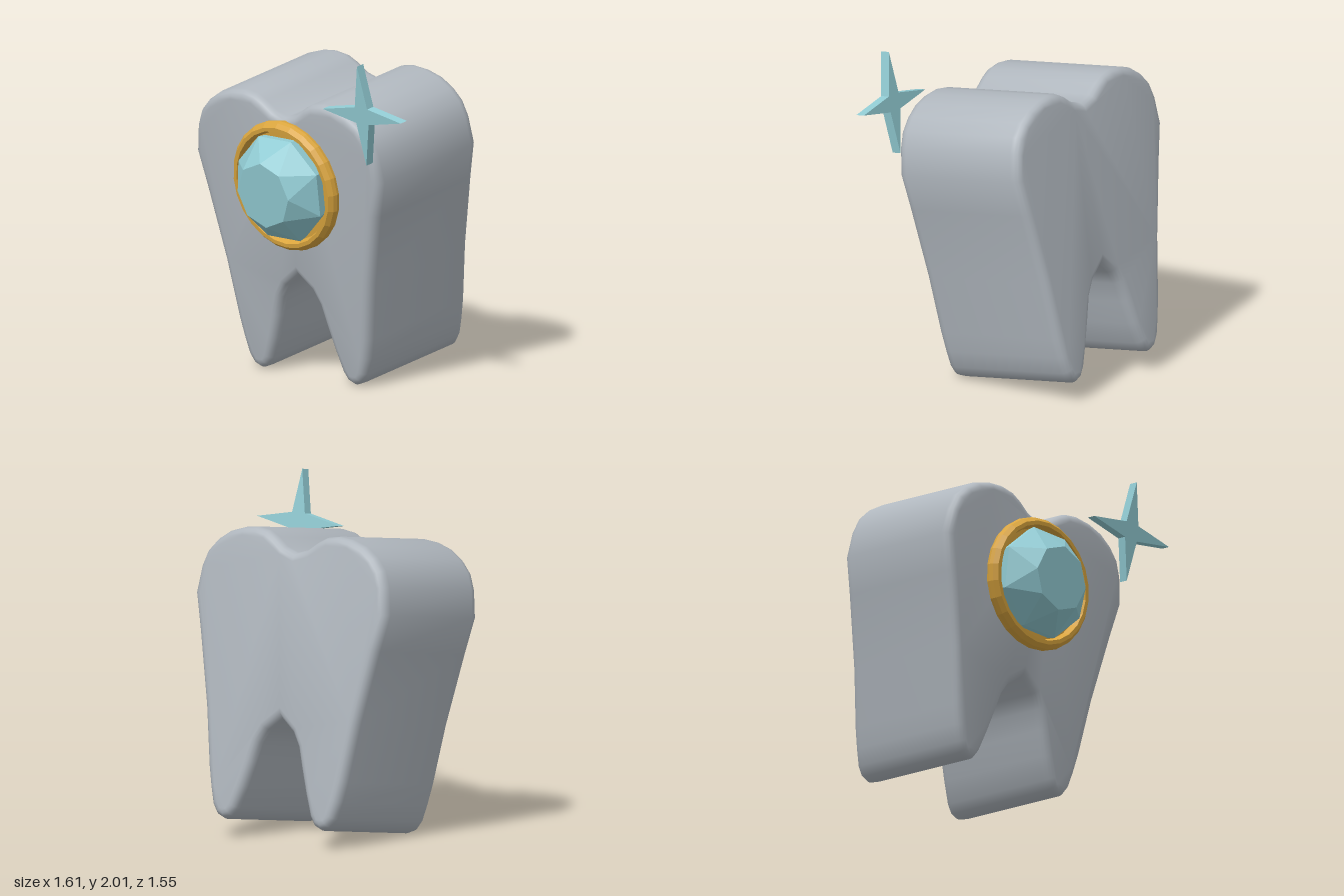
import * as THREE from 'three';
import { toCreasedNormals } from 'three/addons/utils/BufferGeometryUtils.js';

const enamel = new THREE.MeshStandardMaterial({ color: 0xb0b7be });
enamel.name = 'enamel grey';
const gold = new THREE.MeshStandardMaterial({ color: 0xdaa53e });
gold.name = 'gold';
const crystal = new THREE.MeshStandardMaterial({ color: 0x92ccd4 });
crystal.name = 'pale teal';

const CX = -0.028; // symmetry line of the tooth

function add(group, name, geometry, material, x, y, z) {
  const mesh = new THREE.Mesh(geometry, material);
  mesh.name = name;
  mesh.position.set(x, y, z);
  group.add(mesh);
}

function faceted(geometry) {
  const g = geometry.index ? geometry.toNonIndexed() : geometry;
  g.computeVertexNormals();
  return g;
}

// Mirrored two-root outline, extruded with a soft bevel
function toothGeometry() {
  const half = [
    [0.095, 0.56], [0.144, 0.48], [0.18, 0.36], [0.227, 0.215], [0.275, 0.085], [0.31, 0.035],
    [0.365, 0.013], [0.42, 0.035], [0.457, 0.09], [0.485, 0.19], [0.512, 0.31], [0.57, 0.66],
    [0.665, 1.09], [0.718, 1.307], [0.693, 1.47], [0.655, 1.565], [0.59, 1.635], [0.505, 1.69],
    [0.4, 1.722], [0.305, 1.731], [0.22, 1.718], [0.155, 1.685], [0.085, 1.635],
  ];
  const points = [
    [0, 0.635], ...half, [0, 1.608],
    ...half.slice().reverse().map(([x, y]) => [-x, y]),
  ].map(([x, y]) => new THREE.Vector2(x, y));
  const g = new THREE.ExtrudeGeometry(new THREE.Shape(points), {
    depth: 0.76, bevelEnabled: true, bevelSize: 0.05, bevelOffset: -0.05,
    bevelThickness: 0.06, bevelSegments: 4,
  });
  return toCreasedNormals(g, 0.8);
}

// Bezel: closed cross-section turned around the facing axis
function bezelGeometry() {
  const profile = [
    [0.385, 0.14], [0.396, 0.2], [0.39, 0.225], [0.368, 0.25],
    [0.345, 0.25], [0.33, 0.205], [0, 0.2],
  ].map(([r, h]) => new THREE.Vector2(r, h));
  return faceted(new THREE.LatheGeometry(profile, 24).rotateX(Math.PI / 2));
}

// Cut stone: octagonal girdle joined to a table turned half a step
function gemGeometry() {
  const n = 8, step = Math.PI * 2 / n, out = [];
  const at = (r, z, k) => [r * Math.cos(k * step), r * Math.sin(k * step), z];
  for (let k = 0; k < n; k++) {
    const b0 = at(0.315, 0.17, k - 0.5), b1 = at(0.315, 0.17, k + 0.5);
    const g0 = at(0.33, 0.26, k - 0.5), g1 = at(0.33, 0.26, k + 0.5);
    const t0 = at(0.197, 0.405, k), t1 = at(0.197, 0.405, k + 1);
    out.push(b0, b1, g1, b0, g1, g0); // side
    out.push(g0, g1, t0, g1, t1, t0); // crown
    out.push(t0, t1, [0, 0, 0.405]); // table
  }
  const g = new THREE.BufferGeometry();
  g.setAttribute('position', new THREE.Float32BufferAttribute(out.flat(), 3));
  return faceted(g);
}

// Four-pointed sparkle
function sparkleGeometry() {
  const points = [];
  for (let i = 0; i < 8; i++) {
    const r = i % 2 ? 0.068 : 0.305, a = i * Math.PI / 4;
    points.push(new THREE.Vector2(r * Math.cos(a), r * Math.sin(a)));
  }
  return new THREE.ExtrudeGeometry(new THREE.Shape(points), { depth: 0.056, bevelEnabled: false });
}

export function createModel() {
  const model = new THREE.Group();
  model.name = 'jewelledTooth';

  // Everything is built upright, then turned and tipped slightly forward
  const body = new THREE.Group();
  body.name = 'tiltedBody';
  body.rotation.set(0.137, -0.345, 0, 'YXZ');
  model.add(body);

  add(body, 'tooth', toothGeometry(), enamel, CX, 0, -0.64);
  add(body, 'bezel', bezelGeometry(), gold, CX + 0.008, 1.207, 0);
  add(body, 'gem', gemGeometry(), crystal, CX + 0.005, 1.205, 0);
  add(body, 'sparkle', sparkleGeometry(), crystal, 0.655, 1.742, 0.169);
  return model;
}
